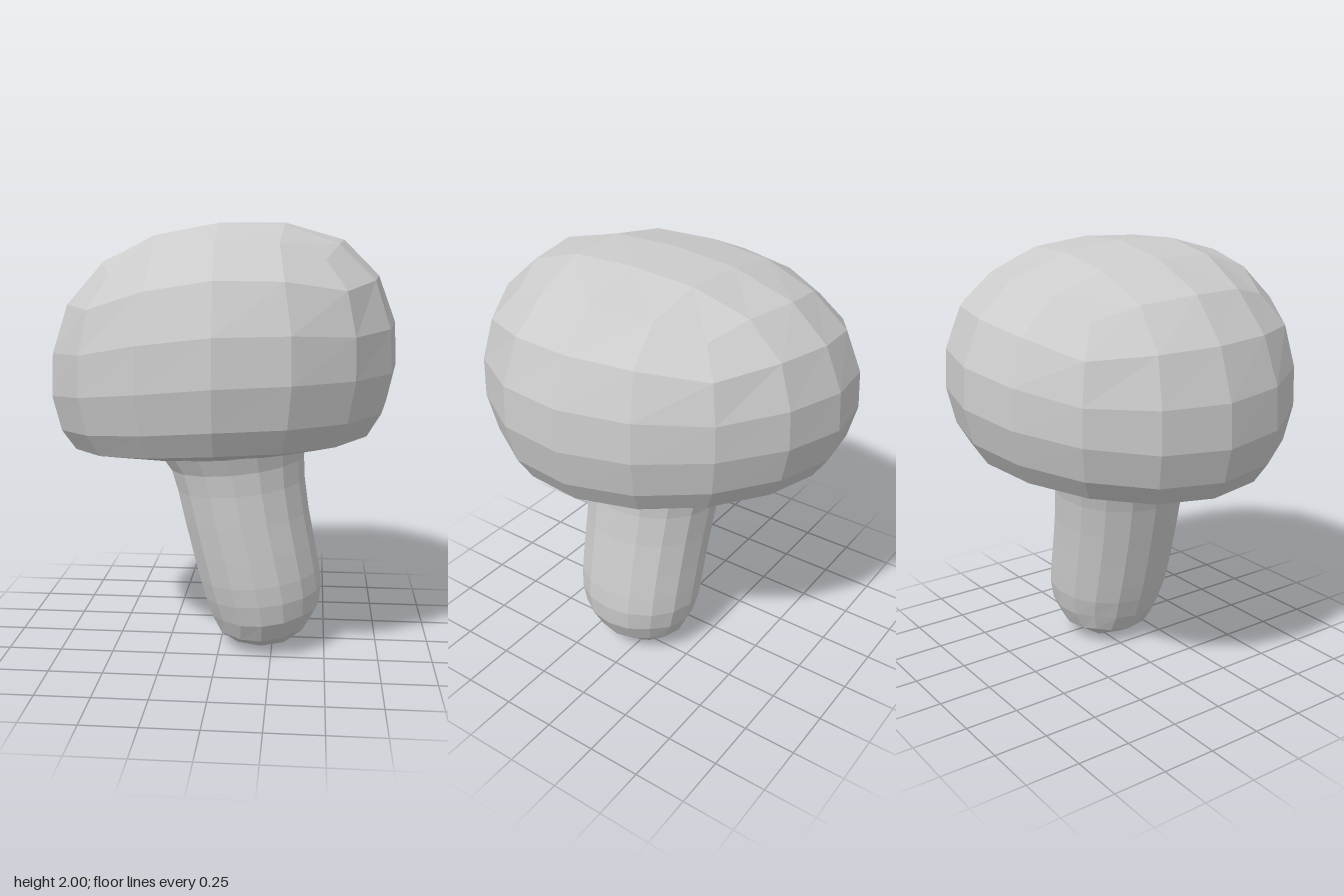
import * as THREE from 'three';

const material = new THREE.MeshStandardMaterial({ color: 0xcccccc, flatShading: true, side: THREE.DoubleSide });

// Wraps a 4 x n x 4 box onto rings listed from the closed, quad-patched end to the open end.
// Ring: [radius, y, extra radius on diagonals, drop on diagonals, centre x, centre z]
function roundedShell(name, rings, down, warp) {
  const rows = rings.length - 3;
  const box = new THREE.BoxGeometry(2, 2, 2, 4, rows, 4);

  // leave the far end open
  const open = box.groups[down ? 3 : 2];
  const index = Array.from(box.index.array);
  index.splice(open.start, open.count);
  box.setIndex(index);
  box.clearGroups();

  const p = box.attributes.position;
  for (let i = 0; i < p.count; i++) {
    const x = p.getX(i), y = p.getY(i), z = p.getZ(i);
    const ax = Math.abs(x), az = Math.abs(z);
    const m = Math.max(ax, az);
    const t = m > 0 ? Math.min(ax, az) / m : 0;
    const row = Math.round((down ? 1 - y : 1 + y) / 2 * rows);
    const k = m < 0.99 ? Math.round(m * 2) : 2 + row;
    const [r, h, dr, dy, cx = 0, cz = 0] = rings[k];

    // even angles on the sides, grid-like angles on the end patch
    const a = k <= 2 ? Math.atan(t) : t * Math.PI / 4;
    const radius = r + dr * t * t;
    const major = radius * Math.cos(a), minor = radius * Math.sin(a);
    const dx = Math.sign(x) * (ax >= az ? major : minor);
    const dz = Math.sign(z) * (ax >= az ? minor : major);
    p.setXYZ(i, ...warp(dx, h - dy * t * t, dz, cx, cz));
  }
  box.deleteAttribute('uv');
  const geometry = box.toNonIndexed();
  geometry.computeVertexNormals();
  const mesh = new THREE.Mesh(geometry, material);
  mesh.name = name;
  return mesh;
}

// Tilts the cap to one side and makes it slightly lopsided
function warpCap(dx, y, dz, cx, cz) {
  const x = (dx + cx) * 0.97, z = dz + cz;
  const tilt = 0.09 + 0.06 * Math.min(0, y - 1.35);
  return [
    x + 0.035 * z * (1 + x),
    y + tilt * x - 0.09 * x * x + 0.08 * z * (y - 1.35) - 0.04 * z * Math.max(0, x),
    z + 0.025 * x,
  ];
}

// Tilts the stem's rings and makes it slightly deeper than wide
function warpStem(dx, y, dz, cx, cz) {
  return [cx + dx, y + 0.1 * dx * Math.min(1, y * 8), cz + dz * 1.06];
}

export function createModel() {
  const group = new THREE.Group();
  group.name = 'mushroom';

  // Cap: domed top, bulging sides, rim rolled under to the stem
  const cap = roundedShell('cap', [
    [0, 2.0, 0, 0],
    [0.3, 1.98, 0.11, 0.02],
    [0.575, 1.9, 0.08, 0.085],
    [0.74, 1.745, 0.035, 0.05],
    [0.82, 1.54, 0.005, 0.02],
    [0.83, 1.35, 0, 0],
    [0.79, 1.18, 0, 0],
    [0.725, 1.075, 0, 0],
    [0.585, 1.03, 0, 0],
    [0.49, 1.035, 0, 0, 0.02, 0.02],
    [0.42, 1.06, 0, 0, 0.04, 0.04],
    [0.3, 1.1, 0, 0, 0.05, 0.04],
  ], true, warpCap);

  // Stem: leaning column with a rounded foot, flaring into the cap
  const stem = roundedShell('stem', [
    [0, 0.0, 0, 0, 0.19, 0.04],
    [0.12, 0.022, 0.035, -0.015, 0.2, 0.05],
    [0.212, 0.085, 0.012, -0.02, 0.205, 0.055],
    [0.26, 0.18, 0, -0.01, 0.212, 0.06],
    [0.281, 0.28, 0, 0, 0.2, 0.062],
    [0.288, 0.37, 0, 0, 0.182, 0.065],
    [0.292, 0.5, 0, 0, 0.153, 0.065],
    [0.296, 0.65, 0, 0, 0.12, 0.062],
    [0.303, 0.8, 0, 0, 0.092, 0.056],
    [0.316, 0.9, 0, 0, 0.075, 0.05],
    [0.346, 0.975, 0, 0, 0.055, 0.045],
    [0.382, 1.015, 0, 0, 0.05, 0.04],
    [0.41, 1.07, 0, 0, 0.05, 0.04],
  ], false, warpStem);

  group.add(cap, stem);
  return group;
}
